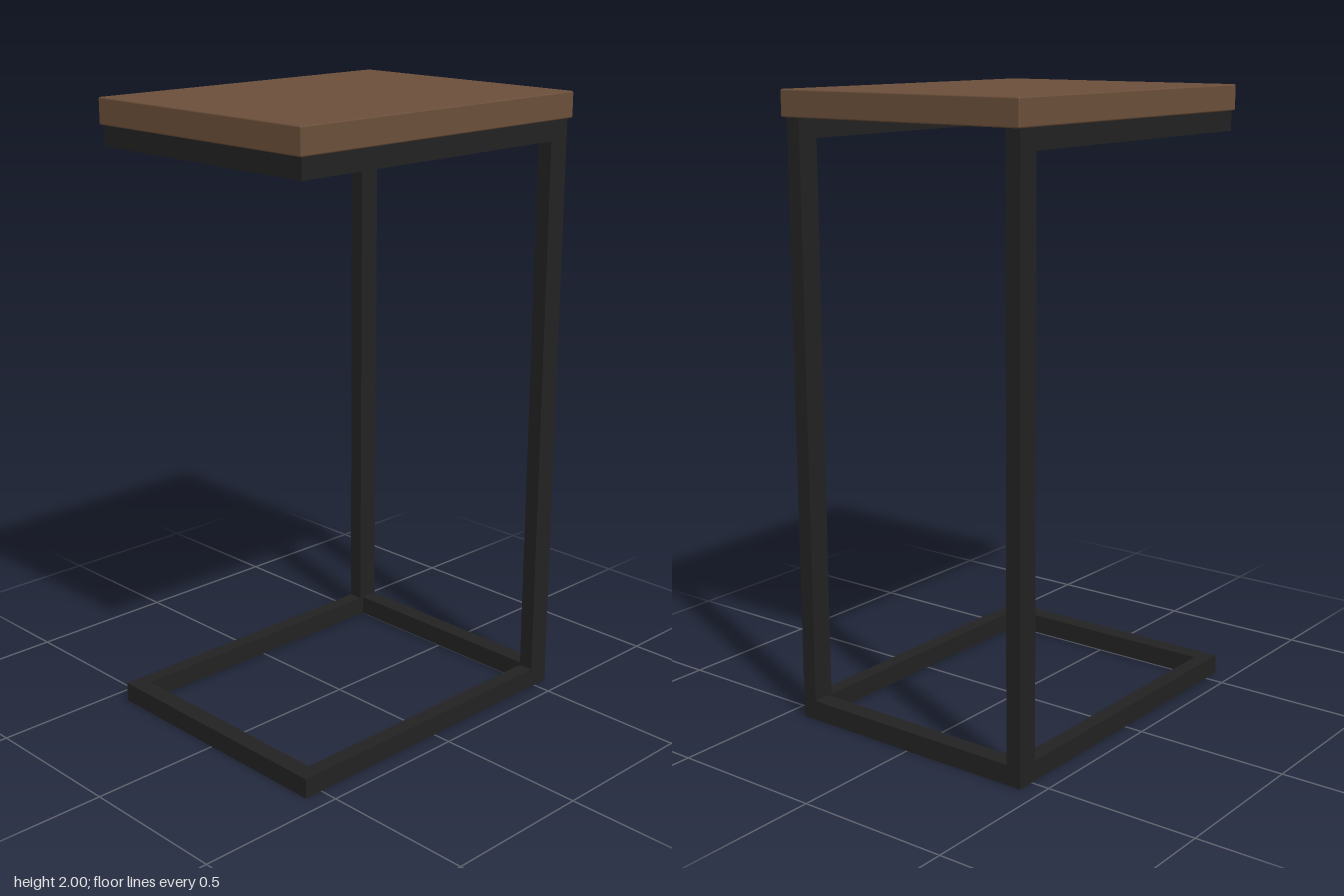
import * as THREE from 'three';
import { RoundedBoxGeometry } from 'three/addons/geometries/RoundedBoxGeometry.js';

export function createModel() {
  const model = new THREE.Group();
  model.name = 'cShapedSideTable';

  const wood = new THREE.MeshStandardMaterial({ color: 0x6b4f3a });
  wood.name = 'brownWood';
  const metal = new THREE.MeshStandardMaterial({ color: 0x222222 });
  metal.name = 'blackMetal';

  // Frame bar given by its minimum and maximum corners
  function bar(name, [x0, y0, z0], [x1, y1, z1]) {
    const mesh = new THREE.Mesh(new THREE.BoxGeometry(x1 - x0, y1 - y0, z1 - z0), metal);
    mesh.position.set((x0 + x1) / 2, (y0 + y1) / 2, (z0 + z1) / 2);
    mesh.name = name;
    model.add(mesh);
  }

  const outer = 0.437, inner = 0.387;
  const back = -0.557, front = 0.563;
  const barHeight = 0.064, frameTop = 1.917;
  const legDepth = 0.074, crossDepth = 0.06;

  // Table top with slightly eased edges
  const top = new THREE.Mesh(new RoundedBoxGeometry(0.892, 2 - frameTop, 1.146, 1, 0.005), wood);
  top.position.y = (2 + frameTop) / 2;
  top.name = 'tableTop';
  model.add(top);

  // Left and right C frames: leg, foot rail and top rail
  for (const [side, x0, x1] of [['left', inner, outer], ['right', -outer, -inner]]) {
    bar(side + 'Leg', [x0, 0, back], [x1, frameTop, back + legDepth]);
    bar(side + 'FootRail', [x0, 0, back + legDepth], [x1, barHeight, front]);
    bar(side + 'TopRail', [x0, frameTop - barHeight, back + legDepth], [x1, frameTop, front]);
  }

  // Cross bars between the two frames; the back is open under the top
  bar('frontFootBar', [-inner, 0, front - crossDepth], [inner, barHeight, front]);
  bar('backFootBar', [-inner, 0, back], [inner, barHeight, back + crossDepth]);
  bar('frontTopBar', [-inner, frameTop - barHeight, front - crossDepth], [inner, frameTop, front]);

  return model;
}
